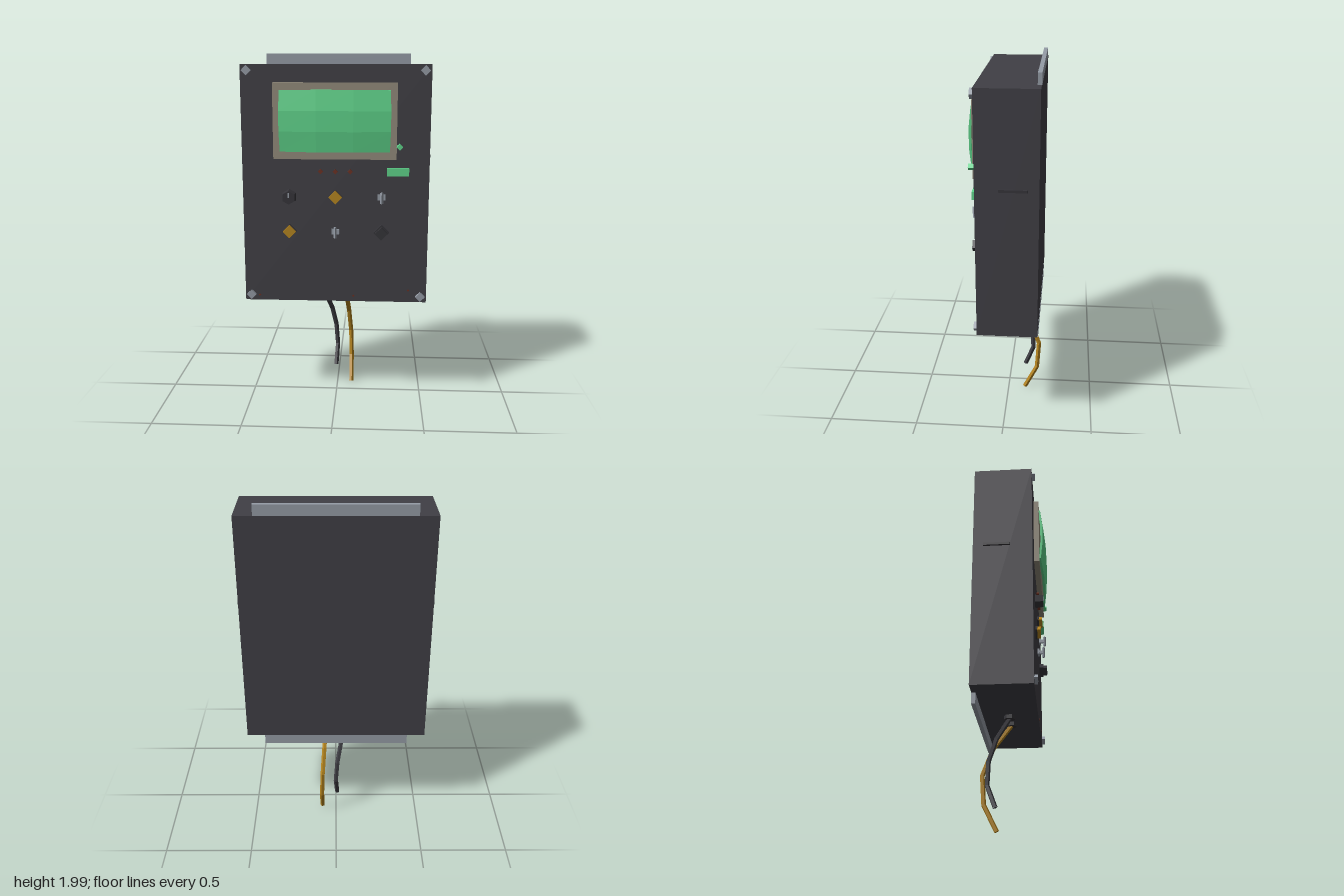
import * as THREE from 'three';

const mat = (name, color, extra = {}) =>
  Object.assign(new THREE.MeshStandardMaterial({ color, flatShading: true, ...extra }), { name });

export function createModel() {
  const root = new THREE.Group();
  root.name = 'controlPanel';
  const dark = mat('charcoal', 0x403f45);
  const black = mat('blackPlastic', 0x353439);
  const steel = mat('steel', 0x959ca6);
  const beige = mat('bezelBeige', 0x938b7b);
  const green = mat('screenGreen', 0x5fd58b);
  const gold = mat('amber', 0xb5851f);
  const red = mat('rustRed', 0x6b3022);
  const FACE = 0.138; // front plane of the case

  function add(name, geo, material, x = 0, y = 0, z = 0) {
    const m = new THREE.Mesh(geo, material);
    m.name = name;
    m.position.set(x, y, z);
    root.add(m);
    return m;
  }
  // box given by its centre in x and y and its extent in z
  const block = (name, material, x, y, w, h, z0, z1) =>
    add(name, new THREE.BoxGeometry(w, h, z1 - z0), material, x, y, (z0 + z1) / 2);
  // prism standing out along z, one corner pointing up
  function stud(name, material, x, y, r, z0, z1, sides = 4, rTop = r) {
    const g = new THREE.CylinderGeometry(rTop, r, z1 - z0, sides);
    g.rotateX(Math.PI / 2);
    return add(name, g, material, x, y, (z0 + z1) / 2);
  }

  // case and mounting flanges
  block('case', dark, 0, 1.2785, 1.034, 1.327, -0.187, FACE);
  block('topFlange', steel, 0, 1.971, 0.83, 0.058, -0.188, -0.166);
  block('bottomFlange', steel, 0, 0.586, 0.83, 0.058, -0.188, -0.166);

  // corner screws and side slots
  for (const s of [-1, 1]) {
    for (const y of [0.65, 1.91]) stud('cornerScrew', steel, s * 0.482, y, 0.027, FACE, 0.156);
    add('sideSlot', new THREE.BoxGeometry(0.012, 0.014, 0.145), black, s * 0.522, 1.438, -0.057);
  }

  // display: bezel and a faceted bulging screen
  block('bezel', beige, -0.002, 1.641, 0.674, 0.412, FACE, 0.168);
  const screen = new THREE.BoxGeometry(0.6, 0.33, 0.013, 3, 3, 1);
  const p = screen.attributes.position;
  for (let i = 0; i < p.count; i++) {
    const u = p.getX(i) / 0.3, v = p.getY(i) / 0.165;
    p.setZ(i, p.getZ(i) - 0.0135 * (u * u + v * v));
    p.setX(i, p.getX(i) * (1.014 - 0.014 * v * v));
    p.setY(i, p.getY(i) * (1.014 - 0.014 * u * u));
  }
  screen.computeVertexNormals();
  add('screen', screen, green, -0.002, 1.642, 0.196);

  // indicators
  stud('powerLamp', green, 0.351, 1.505, 0.017, FACE, 0.187);
  block('statusBar', green, 0.345, 1.366, 0.12, 0.043, FACE, 0.165);
  for (const x of [-0.082, 0, 0.082]) stud('warningLamp', red, x, 1.365, 0.014, FACE, 0.154);

  // rotary knobs
  stud('hexKnob', black, -0.257, 1.222, 0.043, FACE, 0.182, 6, 0.038);
  block('knobPointer', steel, -0.257, 1.236, 0.007, 0.026, 0.18, 0.186);
  stud('knobBase', black, 0.257, 1.025, 0.044, FACE, 0.162);
  stud('knobCap', black, 0.257, 1.025, 0.034, 0.162, 0.184);

  // push buttons
  for (const [x, y] of [[0, 1.222], [-0.257, 1.025]]) {
    stud('buttonCollar', black, x, y, 0.041, FACE, 0.148);
    stud('button', gold, x, y, 0.037, 0.148, 0.167);
  }

  // toggle switches
  for (const [x, y] of [[0.257, 1.222], [0, 1.025]]) {
    block('toggleBase', steel, x, y, 0.044, 0.03, FACE, 0.15);
    block('togglePost', steel, x, y, 0.016, 0.02, 0.15, 0.172);
    add('toggleLever', new THREE.CylinderGeometry(0.009, 0.009, 0.062, 4), steel, x, y, 0.172);
  }

  // small rust flecks
  for (const [x, y] of [[0.415, 0.685], [0.102, 0.648], [-0.435, 0.645]])
    stud('rustFleck', red, x, y, 0.007, FACE, 0.141);

  // cable glands and hanging cables
  function cable(name, material, points) {
    const [x, , z] = points[0];
    add(name + 'Gland', new THREE.CylinderGeometry(0.032, 0.032, 0.022, 6), black, x, 0.605, z);
    const curve = new THREE.CatmullRomCurve3(points.map((q) => new THREE.Vector3(...q)));
    add(name, new THREE.TubeGeometry(curve, 4, 0.014, 5), material);
    // end cap
    const cap = add(name + 'End', new THREE.CircleGeometry(0.013, 5), material, ...points[4]);
    cap.lookAt(cap.position.clone().add(curve.getTangent(1)));
  }
  cable('blackCable', dark, [
    [-0.062, 0.6, -0.02], [-0.026, 0.47, -0.108], [-0.006, 0.345, -0.145], [0, 0.235, -0.145], [-0.008, 0.12, -0.1],
  ]);
  cable('amberCable', gold, [
    [0.058, 0.6, -0.02], [0.071, 0.445, -0.138], [0.081, 0.3, -0.186], [0.085, 0.155, -0.172], [0.085, 0.012, -0.1],
  ]);
  return root;
}
